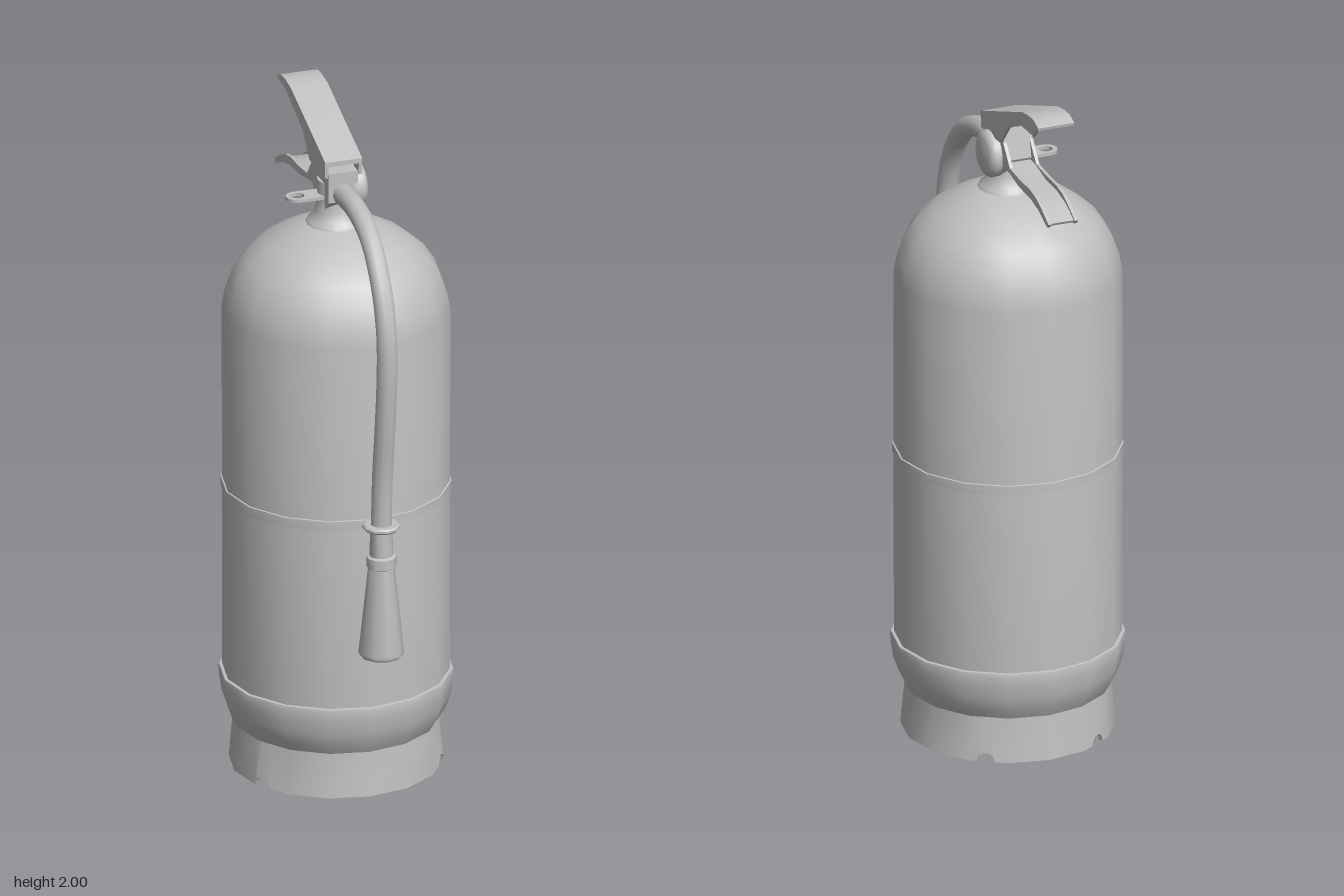
import * as THREE from 'three';
import { toCreasedNormals } from 'three/addons/utils/BufferGeometryUtils.js';

const AXIS_Z = -0.038; // the tank axis sits slightly behind the origin

export function createModel() {
  const model = new THREE.Group();
  model.name = 'fireExtinguisher';
  const grey = new THREE.MeshStandardMaterial({ color: 0xc0c0c0 });
  grey.name = 'plain grey';

  const add = (name, geometry, x = 0, y = 0, z = 0) => {
    const mesh = new THREE.Mesh(geometry, grey);
    mesh.name = name;
    mesh.position.set(x, y, z);
    model.add(mesh);
    return mesh;
  };
  const lathe = (points, sides, crease = 0.6) => toCreasedNormals(
    new THREE.LatheGeometry(points.map(([r, y]) => new THREE.Vector2(r, y)), sides), crease);

  // Side outline given as [z, y] points, extruded across x and centred on cx
  const sidePlate = (points, width, cx = 0) => {
    const shape = new THREE.Shape(points.map(([z, y]) => new THREE.Vector2(z, y)));
    const geometry = new THREE.ExtrudeGeometry(shape, { depth: width, bevelEnabled: false });
    geometry.rotateY(-Math.PI / 2);
    geometry.translate(cx + width / 2, 0, 0);
    return toCreasedNormals(geometry, 0.5);
  };

  // Tank with domed shoulder
  add('tank', lathe([
    [0, 0.27], [0.327, 0.27], [0.328, 1.4], [0.319, 1.45], [0.298, 1.51], [0.264, 1.56],
    [0.213, 1.605], [0.15, 1.64], [0.085, 1.668], [0, 1.672],
  ], 16), 0, 0, AXIS_Z);

  // Raised seam around the middle
  add('seamBand', lathe([[0.325, 0.838], [0.332, 0.84], [0.332, 0.868], [0.325, 0.87]], 16), 0, 0, AXIS_Z);

  // Rounded cup around the bottom of the tank
  add('baseCup', lathe([
    [0, 0.105], [0.28, 0.105], [0.294, 0.13], [0.315, 0.165], [0.329, 0.205], [0.335, 0.245],
    [0.338, 0.274], [0.336, 0.285], [0.32, 0.287],
  ], 16), 0, 0, AXIS_Z);

  add('footRing', footRing(), 0, 0, AXIS_Z);

  // Neck and valve
  add('neck', lathe([
    [0.09, 1.66], [0.085, 1.673], [0.07, 1.685], [0.06, 1.71], [0.055, 1.74], [0.055, 1.8], [0, 1.8],
  ], 16), 0, 0, AXIS_Z);
  add('valveBlock', sidePlate([
    [0.025, 1.84], [-0.11, 1.84], [-0.125, 1.78], [-0.1, 1.74], [-0.07, 1.72], [-0.005, 1.72], [0.025, 1.75],
  ], 0.09));

  // Round gauge on the side of the valve
  const gauge = lathe([
    [0, -0.03], [0.055, -0.03], [0.067, -0.02], [0.07, -0.008], [0.07, 0.01], [0.064, 0.022], [0.05, 0.029], [0, 0.031],
  ], 20, 0.9);
  gauge.rotateZ(-Math.PI / 2);
  add('gauge', gauge, 0.051, 1.775, AXIS_Z);

  // Safety pin tab with a finger hole
  const tab = new THREE.Shape();
  tab.moveTo(0.03, -0.031);
  tab.lineTo(-0.12, -0.031);
  tab.absarc(-0.12, 0, 0.031, -Math.PI / 2, Math.PI / 2, true);
  tab.lineTo(0.03, 0.031);
  tab.closePath();
  const hole = new THREE.Path();
  hole.absarc(-0.117, 0, 0.02, 0, Math.PI * 2, false);
  tab.holes.push(hole);
  const pin = new THREE.ExtrudeGeometry(tab, { depth: 0.01, bevelEnabled: false, curveSegments: 8 });
  pin.rotateX(-Math.PI / 2);
  add('safetyPin', toCreasedNormals(pin, 0.6), 0, 1.75, AXIS_Z);

  // Upper lever: a channel open underneath
  add('leverTop', sidePlate([
    [0.03, 1.865], [0.03, 1.88], [-0.275, 1.993], [-0.32, 2.0], [-0.36, 2.0], [-0.392, 1.987],
    [-0.39, 1.978], [-0.355, 1.988], [-0.28, 1.979],
  ], 0.112));
  for (const side of [-1, 1]) {
    add('leverFlange', sidePlate([
      [0.03, 1.875], [0.027, 1.83], [-0.11, 1.835], [-0.165, 1.9], [-0.2, 1.918], [-0.29, 1.957],
      [-0.33, 1.972], [-0.388, 1.98], [-0.36, 1.996], [-0.32, 1.996], [-0.275, 1.99],
    ], 0.01, side * 0.051));
  }

  // Lower carrying handle: a channel open on top
  add('handleFloor', sidePlate([
    [-0.08, 1.765], [-0.16, 1.757], [-0.23, 1.742], [-0.31, 1.739], [-0.375, 1.724], [-0.432, 1.697],
    [-0.437, 1.705], [-0.38, 1.733], [-0.31, 1.749], [-0.23, 1.752], [-0.16, 1.768], [-0.08, 1.776],
  ], 0.086));
  for (const side of [-1, 1]) {
    add('handleFlange', sidePlate([
      [-0.09, 1.765], [-0.16, 1.756], [-0.23, 1.741], [-0.31, 1.737], [-0.375, 1.722], [-0.434, 1.694],
      [-0.445, 1.706], [-0.39, 1.738], [-0.35, 1.755], [-0.31, 1.763], [-0.23, 1.765], [-0.16, 1.772],
      [-0.11, 1.835], [-0.09, 1.835],
    ], 0.01, side * 0.041));
  }

  // Hose from the valve down the front
  const path = new THREE.CatmullRomCurve3([
    [0, 1.773], [0.15, 1.771], [0.27, 1.725], [0.36, 1.62], [0.405, 1.5], [0.412, 1.38],
    [0.395, 1.2], [0.37, 1.02], [0.361, 0.87],
  ].map(([z, y]) => new THREE.Vector3(0, y, z)));
  add('hose', new THREE.TubeGeometry(path, 40, 0.031, 10));

  // Nozzle with collars and a hollow flared horn
  add('nozzle', lathe([
    [0.03, 0.6], [0.054, 0.484], [0.061, 0.477], [0.065, 0.483], [0.065, 0.492], [0.038, 0.75],
    [0.043, 0.753], [0.043, 0.783], [0.034, 0.787], [0.032, 0.868], [0.05, 0.868], [0.055, 0.873],
    [0.055, 0.879], [0.05, 0.884], [0.025, 0.884],
  ], 10, 0.7), 0, 0, 0.361);
  const plug = new THREE.CircleGeometry(0.04, 10);
  plug.rotateX(Math.PI / 2);
  add('nozzleThroat', plug, 0, 0.595, 0.361);

  return model;
}

// Sixteen-sided foot ring with four arched notches cut into its lower edge
function footRing() {
  const step = Math.PI / 8, half = 0.085, tall = 0.026;
  const notches = [27, 153, 235, 305].map(THREE.MathUtils.degToRad);
  const stops = [];
  for (let i = 0; i < 16; i++) stops.push(i * step);
  for (const n of notches) for (let k = -4; k <= 4; k++) stops.push(n + half * Math.sin(k * Math.PI / 8));
  stops.sort((a, b) => a - b);

  const positions = [], index = [];
  stops.forEach((a, i) => {
    const flat = Math.cos(step / 2) / Math.cos((a % step) - step / 2);
    let low = 0;
    for (const n of notches) {
      const t = (a - n) / half;
      if (Math.abs(t) < 1) low = tall * Math.sqrt(1 - t * t);
    }
    for (const [r, y] of [[0.296, 0.135], [0.308, low], [0.296, low], [0.284, 0.135]]) {
      positions.push(r * flat * Math.cos(a), y, r * flat * Math.sin(a));
    }
    const j = (i + 1) % stops.length;
    for (let k = 0; k < 4; k++) {
      const m = (k + 1) % 4;
      const p = i * 4 + k, q = j * 4 + k, s = j * 4 + m, u = i * 4 + m;
      index.push(p, q, s, p, s, u);
    }
  });
  const geometry = new THREE.BufferGeometry();
  geometry.setAttribute('position', new THREE.Float32BufferAttribute(positions, 3));
  geometry.setIndex(index);
  return toCreasedNormals(geometry, 0.6);
}
